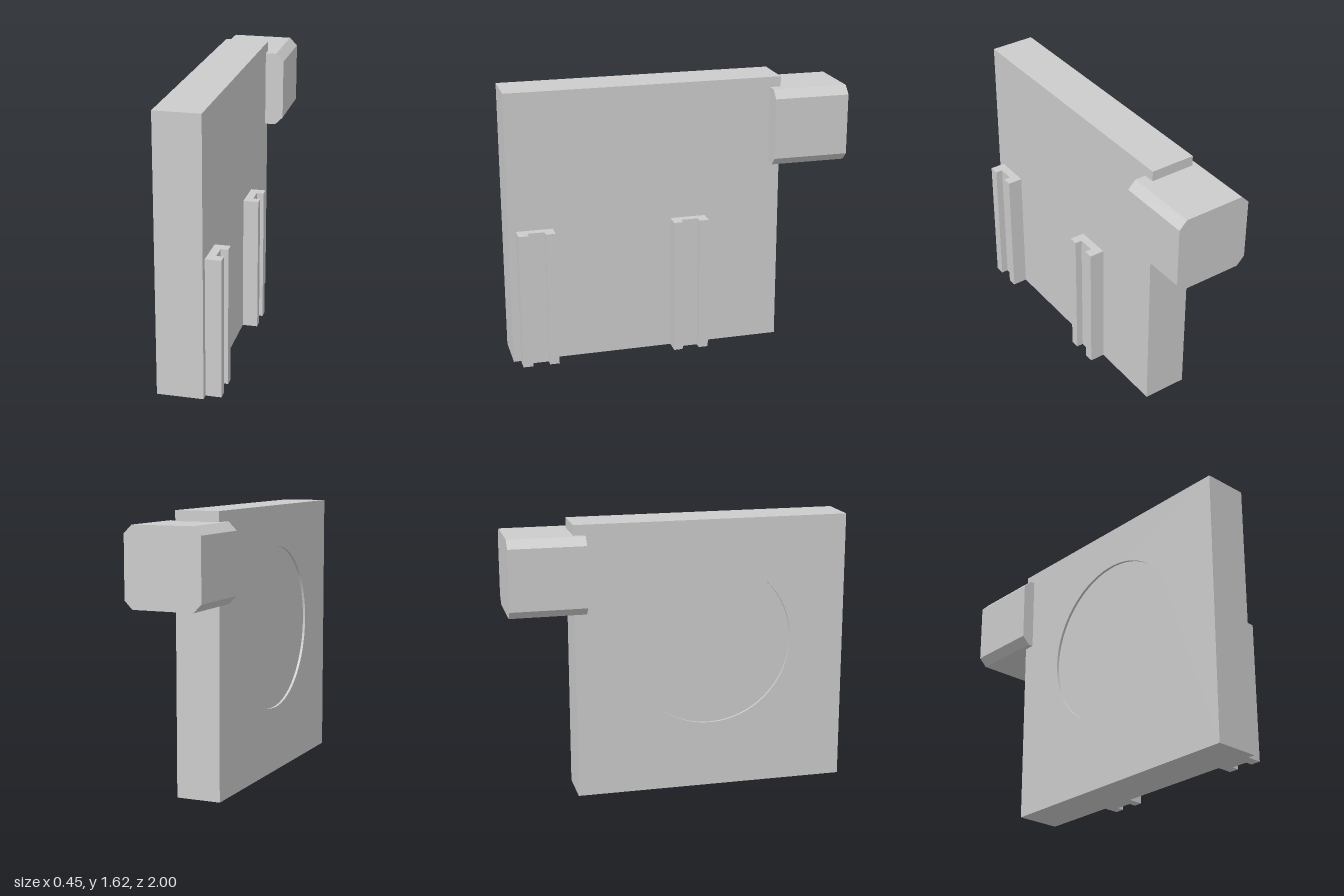
import * as THREE from 'three';

const material = new THREE.MeshStandardMaterial({ color: 0xcccccc, flatShading: true });

function addMesh(parent, name, geometry) {
  const mesh = new THREE.Mesh(geometry, material);
  mesh.name = name;
  parent.add(mesh);
}

// Box given by its lower and upper corners
function boxBetween([x0, y0, z0], [x1, y1, z1]) {
  return new THREE.BoxGeometry(x1 - x0, y1 - y0, z1 - z0)
    .translate((x0 + x1) / 2, (y0 + y1) / 2, (z0 + z1) / 2);
}

const polygon = (points) => new THREE.Shape(points.map(([x, y]) => new THREE.Vector2(x, y)));
const extrude = (shape, depth) =>
  new THREE.ExtrudeGeometry(shape, { depth, bevelEnabled: false, curveSegments: 48 });

export function createModel() {
  const model = new THREE.Group();
  model.name = 'platedBracket';

  const left = 0.115, right = -0.15, height = 1.62, back = -0.62, front = 1;
  const recess = 0.015;

  // Upright plate: solid core plus a thin skin with a round shallow recess
  const plate = new THREE.Group();
  plate.name = 'plate';
  model.add(plate);
  addMesh(plate, 'plateCore', boxBetween([right + recess, 0, back], [left, height, front]));
  const skin = polygon([[back, 0], [front, 0], [front, height], [back, height]]);
  skin.holes.push(new THREE.Path().absarc(0.18, 0.885, 0.49, 0, Math.PI * 2, true));
  addMesh(plate, 'recessedSkin',
    extrude(skin, recess).rotateY(-Math.PI / 2).translate(right + recess, 0, 0));

  // Chamfered block at the upper back corner
  const w = 0.226, y0 = 1.11, y1 = 1.56, c = 0.047;
  const block = polygon([
    [-w + c, y0], [w - c, y0], [w, y0 + c], [w, y1 - c],
    [w - c, y1], [-w + c, y1], [-w, y1 - c], [-w, y0 + c],
  ]);
  addMesh(model, 'chamferedBlock', extrude(block, 0.445).translate(0, 0, -1));

  // Two vertical channel rails on the left face, thicker lips facing away from each other or not as listed
  const rails = [
    ['frontRail', 0.743, 0.80, 0.898, 0.957],
    ['middleRail', -0.165, -0.108, -0.008, 0.045],
  ];
  const outer = 0.205, floor = 0.163;
  for (const [name, a, b, d, e] of rails) {
    // Profile in (x, -z), extruded upwards
    const profile = polygon([
      [left, -a], [outer, -a], [outer, -b], [floor, -b],
      [floor, -d], [outer, -d], [outer, -e], [left, -e],
    ]);
    addMesh(model, name, extrude(profile, 0.81).rotateX(-Math.PI / 2));
  }

  return model;
}
